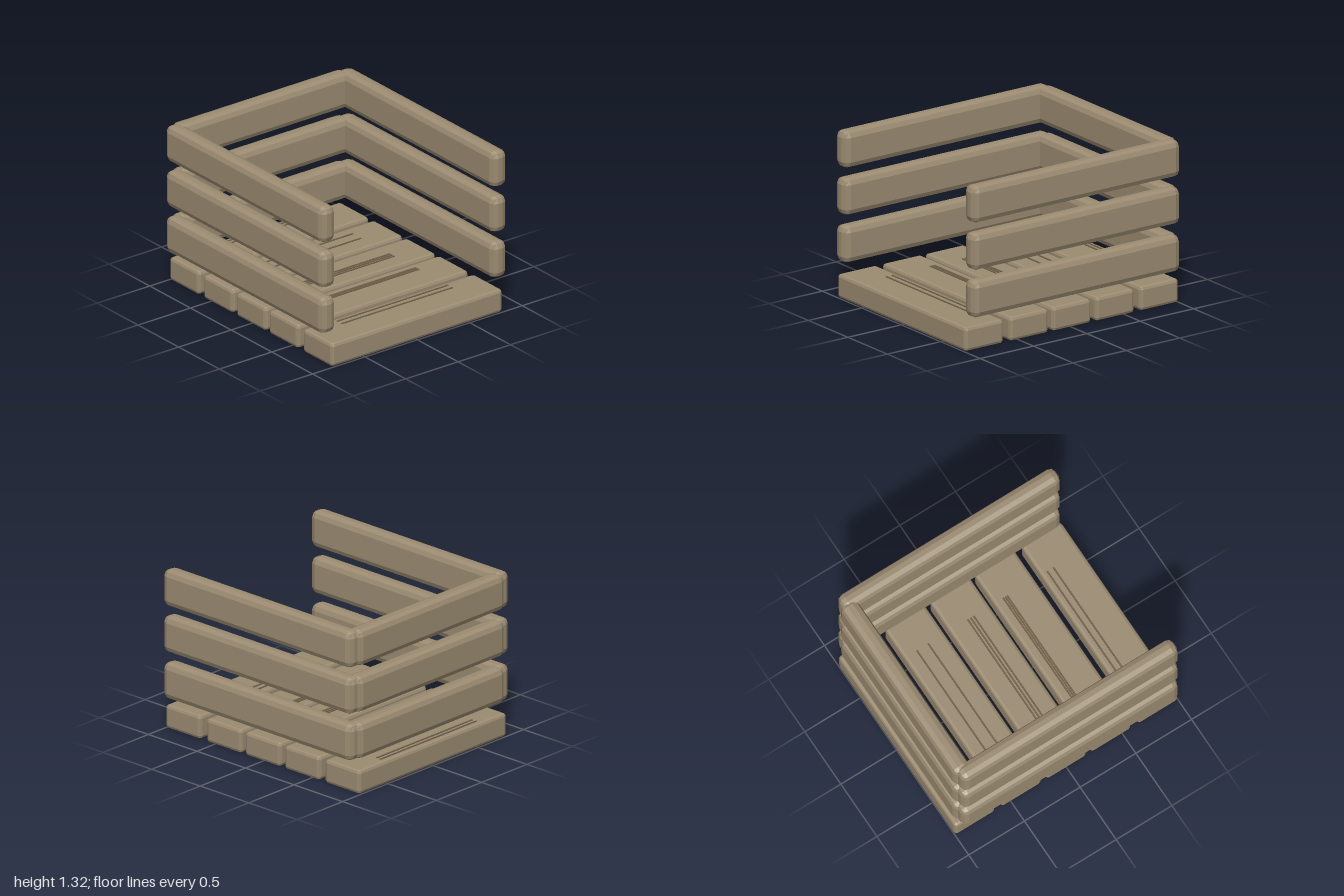
import * as THREE from 'three';
import { RoundedBoxGeometry } from 'three/addons/geometries/RoundedBoxGeometry.js';

export function createModel() {
  const crate = new THREE.Group();
  crate.name = 'slattedCrate';

  const wood = new THREE.MeshStandardMaterial({ color: 0x9c8c72, flatShading: true });
  const grain = new THREE.MeshStandardMaterial({ color: 0x6f6049, flatShading: true });

  // Board with faceted, rounded edges
  function board(name, size, position, bevel) {
    const mesh = new THREE.Mesh(new RoundedBoxGeometry(...size, 1, bevel), wood);
    mesh.name = name;
    mesh.position.set(...position);
    crate.add(mesh);
  }

  // Floor planks running front to back
  [-0.82, -0.405, 0, 0.4, 0.82].forEach((x, i) =>
    board(`floorPlank${i + 1}`, [0.36, 0.19, 1.63], [x, 0.095, 0], 0.025));

  // Three tiers of rails: front, back and the closed right end
  [0.415, 0.793, 1.168].forEach((y, i) => {
    board(`frontRail${i + 1}`, [1.94, 0.295, 0.14], [0, y, 0.817], 0.05);
    board(`backRail${i + 1}`, [1.94, 0.295, 0.14], [0, y, -0.817], 0.05);
    board(`rightEndRail${i + 1}`, [0.145, 0.29, 1.63], [-0.922, y, 0], 0.05);
  });

  // Thin grain strips lying on the planks
  const strips = [-0.95, -0.91, -0.475, -0.373, -0.018, 0.008, 0.035,
    0.3, 0.318, 0.335, 0.695, 0.75];
  strips.forEach((x, i) => {
    const mesh = new THREE.Mesh(new THREE.BoxGeometry(0.013, 0.012, 1.06), grain);
    mesh.name = `grainStrip${i + 1}`;
    mesh.position.set(x, 0.19, 0);
    crate.add(mesh);
  });

  return crate;
}
